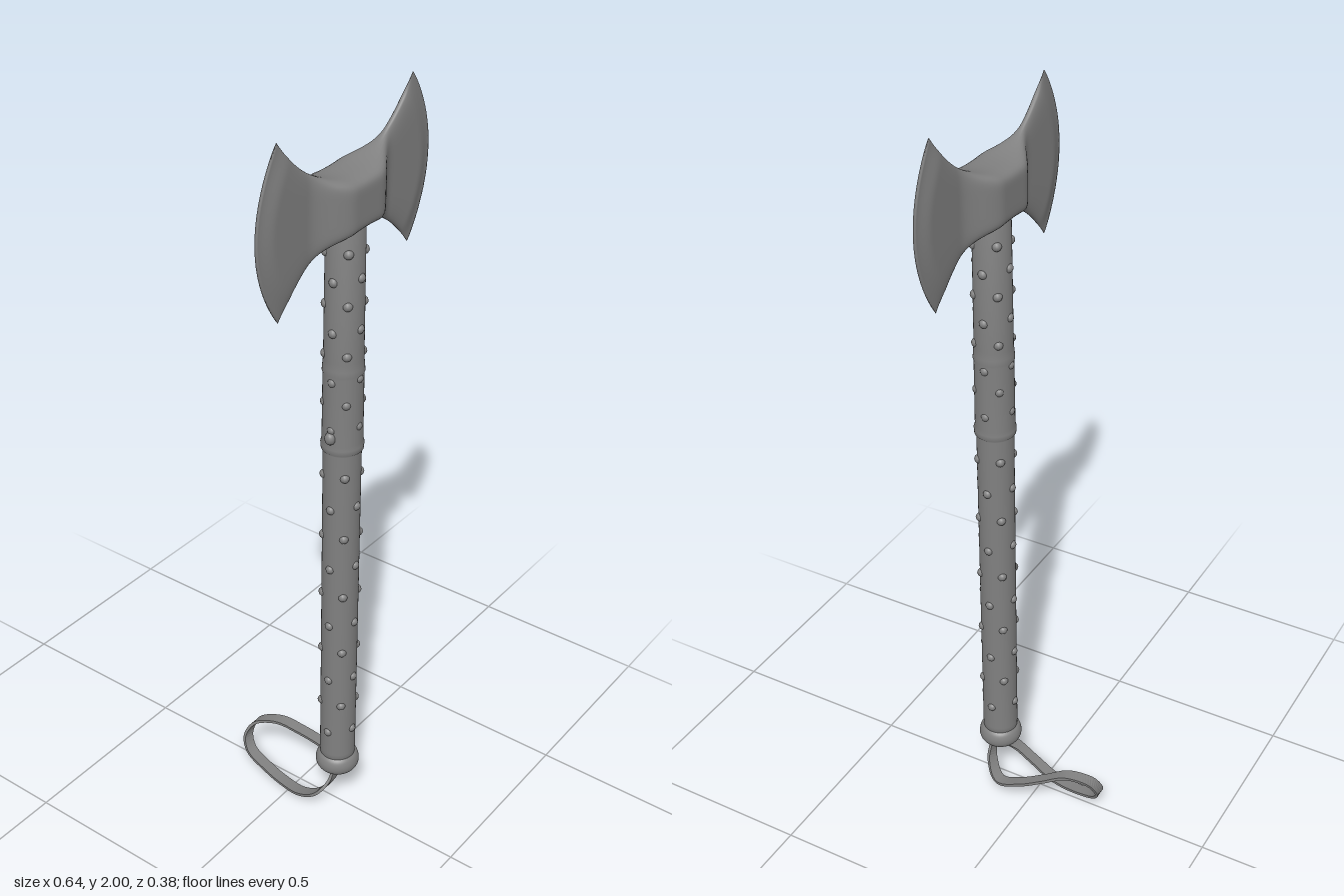
import * as THREE from 'three';

const AXIS_Z = 0.126;
const V = (x, y, z) => new THREE.Vector3(x, y, z);
const mat = new THREE.MeshStandardMaterial({ color: 0x808080 });

function add(group, name, geometry) {
  const mesh = new THREE.Mesh(geometry, mat);
  mesh.name = name;
  group.add(mesh);
  return mesh;
}

// Skins closed loops of points (all the same even length) and caps both ends with strips.
function loft(loops) {
  const n = loops[0].length, pos = [], idx = [];
  loops.forEach(loop => loop.forEach(p => pos.push(p.x, p.y, p.z)));
  for (let i = 0; i < loops.length - 1; i++) {
    for (let j = 0; j < n; j++) {
      const a = i * n + j, b = i * n + (j + 1) % n;
      idx.push(a, a + n, b, b, a + n, b + n);
    }
  }
  const last = (loops.length - 1) * n;
  for (let j = 0; j < n / 2; j++) {
    const b = j + 1, c = n - j - 1, d = (n - j) % n;
    if (b !== c) idx.push(j, b, c, last + j, last + c, last + b);
    if (d !== j) idx.push(j, c, d, last + j, last + d, last + c);
  }
  const g = new THREE.BufferGeometry();
  g.setAttribute('position', new THREE.Float32BufferAttribute(pos, 3));
  g.setIndex(idx);
  g.computeVertexNormals();
  return g;
}

// Half thickness of the head: a thick eye, thin cheeks and a keen edge (t = 1).
function halfThickness(x, t) {
  const eye = 1 - THREE.MathUtils.smoothstep(x, 0.045, 0.155);
  const edge = 1 - 0.8 * THREE.MathUtils.smoothstep(t, 0.84, 1);
  return (0.013 + 0.05 * eye) * edge;
}

// Double-bladed head, swept from one cutting edge to the other and tilted a little.
function headGeometry() {
  const cols = 72, rows = 28, loops = [];
  for (let i = 0; i <= cols; i++) {
    const u = -Math.cos(Math.PI * i / cols) * 0.4 + 0.6 * (2 * i / cols - 1);
    const t = Math.abs(u);
    const top = 1.85 + 0.1425 * t ** 2.3, bottom = 1.72 - 0.1375 * t ** 2.3;
    const loop = [];
    for (let j = 0; j < rows * 2; j++) {
      const s = -Math.cos(Math.PI * j / rows);
      const side = j < rows ? 1 : -1;
      const x = u * (0.32 - 0.073 * s * s);
      const z = halfThickness(Math.abs(x), t) * Math.max(0, 1 - Math.abs(s) ** 8) ** 0.4;
      const y = THREE.MathUtils.lerp(bottom, top, (s + 1) / 2) + 0.03 * x;
      loop.push(V(x, y, AXIS_Z + side * z));
    }
    loops.push(loop);
  }
  return loft(loops);
}

// Flat ribbon following the wrist loop, its width kept close to sideways.
function strapGeometry() {
  const curve = new THREE.CatmullRomCurve3([
    V(0.015, 0.145, 0.135), V(0.05, 0.095, 0.125), V(0.088, 0.062, 0.08),
    V(0.087, 0.083, 0.01), V(0.071, 0.108, -0.05), V(0.048, 0.13, -0.11),
    V(0.024, 0.112, -0.17), V(0.004, 0.07, -0.187), V(-0.012, 0.035, -0.165),
    V(-0.026, 0.013, -0.09), V(-0.04, 0.01, -0.02), V(-0.057, 0.027, 0.05),
    V(-0.057, 0.06, 0.105), V(-0.03, 0.1, 0.13), V(-0.01, 0.145, 0.135)
  ]);
  const loops = [];
  for (let i = 0; i <= 120; i++) {
    const p = curve.getPointAt(i / 120), t = curve.getTangentAt(i / 120);
    const w = V(1, 0, 0).addScaledVector(t, -t.x).normalize();
    const n = t.clone().cross(w);
    loops.push([[-1, 1], [1, 1], [1, -1], [-1, -1]].map(([a, b]) =>
      p.clone().addScaledVector(w, a * 0.016).addScaledVector(n, b * 0.004)));
  }
  const g = loft(loops).toNonIndexed();
  g.computeVertexNormals();
  return g;
}

export function createModel() {
  const model = new THREE.Group();
  model.name = 'doubleAxe';

  add(model, 'axeHead', headGeometry());

  // Shaft with a slightly thicker wrapped upper part
  const profile = [
    [0, 0.15], [0.045, 0.15], [0.047, 0.2], [0.047, 1.14], [0.052, 1.146],
    [0.053, 1.16], [0.05, 1.17], [0.049, 1.35], [0.051, 1.356],
    [0.05, 1.37], [0.048, 1.39], [0.046, 1.74], [0, 1.74]
  ].map(([r, y]) => new THREE.Vector2(r, y));
  add(model, 'shaft', new THREE.LatheGeometry(profile, 40)).position.z = AXIS_Z;

  // Rounded pommel, closed underneath
  const pommel = new THREE.SplineCurve([
    [0, 0.13], [0.04, 0.13], [0.055, 0.143], [0.058, 0.16],
    [0.053, 0.177], [0.044, 0.187]
  ].map(([r, y]) => new THREE.Vector2(r, y)));
  add(model, 'pommel', new THREE.LatheGeometry(pommel.getPoints(24), 40)).position.z = AXIS_Z;

  // Low studs in staggered rows, closer together on the upper part
  const studs = new THREE.Group();
  studs.name = 'studs';
  model.add(studs);
  const studGeometry = new THREE.SphereGeometry(0.012, 12, 8);
  const rows = [];
  for (let y = 0.275; y < 1.14; y += 0.0885) rows.push(y);
  for (let y = 1.21; y < 1.7; y += 0.064) rows.push(y);
  rows.forEach((y, row) => {
    for (let k = 0; k < 4; k++) {
      const a = (k + (row % 2) / 2) * Math.PI / 2;
      const stud = add(studs, 'stud', studGeometry);
      stud.position.set(Math.cos(a) * 0.043, y + (k % 2) * 0.008, AXIS_Z + Math.sin(a) * 0.043);
    }
  });

  // Small knot at the end of the wrapping
  const knot = add(model, 'wrapKnot', new THREE.SphereGeometry(0.014, 12, 8));
  knot.scale.set(1, 1.2, 1);
  knot.position.set(-0.05, 1.19, AXIS_Z);

  add(model, 'wristStrap', strapGeometry());
  return model;
}
